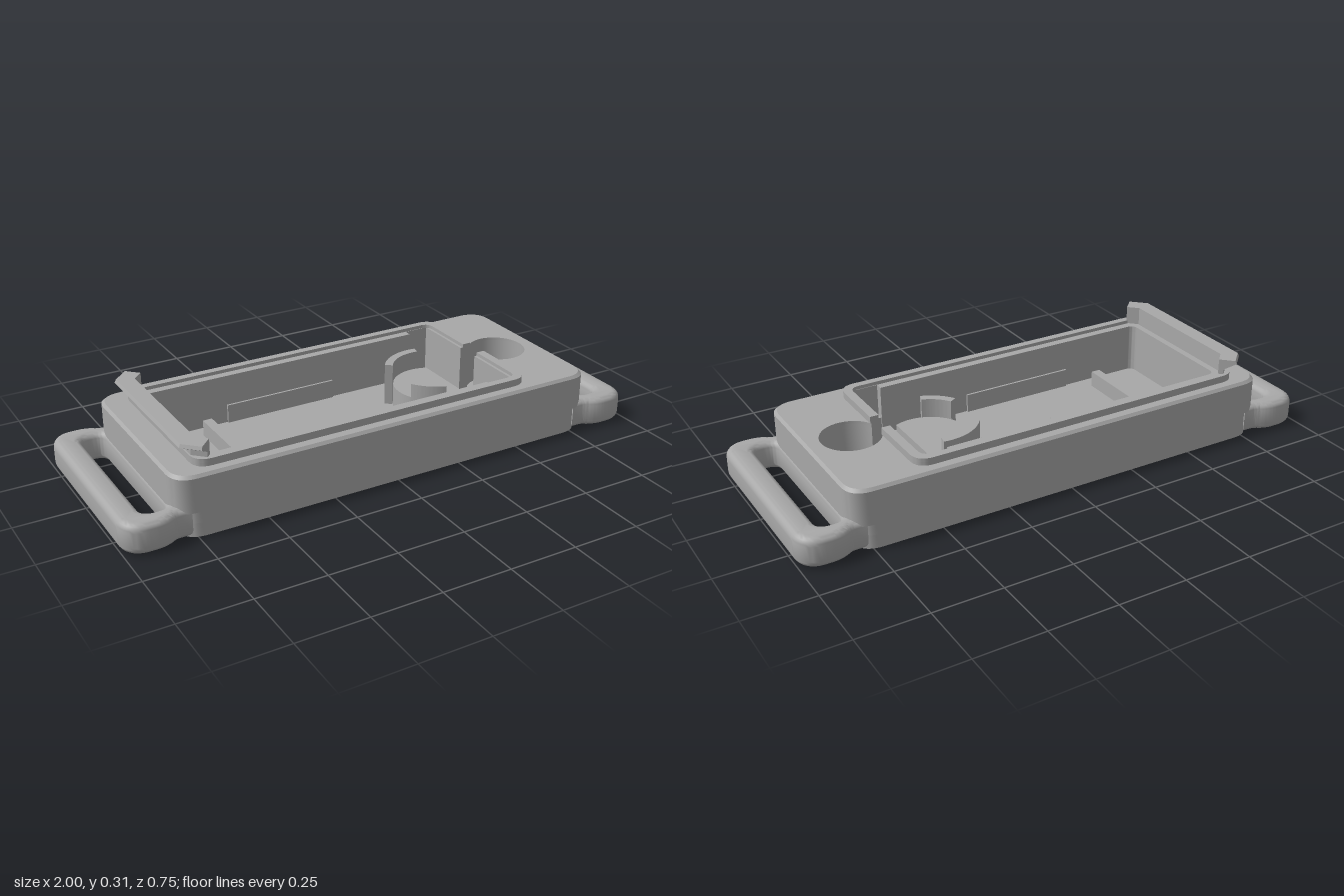
import * as THREE from 'three';
import { toCreasedNormals } from 'three/addons/utils/BufferGeometryUtils.js';

// Closed outline from [x, y, cornerRadius] points
function poly(pts, Type = THREE.Shape) {
  const s = new Type();
  const n = pts.length;
  pts.forEach(([x, y, r = 0], i) => {
    const toward = ([px, py]) => {
      const l = Math.hypot(px - x, py - y);
      return [x + ((px - x) * r) / l, y + ((py - y) * r) / l];
    };
    const a = toward(pts[(i + n - 1) % n]);
    const b = toward(pts[(i + 1) % n]);
    if (i === 0) s.moveTo(...a); else s.lineTo(...a);
    if (r) s.quadraticCurveTo(x, y, ...b);
  });
  s.closePath();
  return s;
}

const rect = (x0, x1, h, r, Type) =>
  poly([[x0, -h, r], [x1, -h, r], [x1, h, r], [x0, h, r]], Type);

const circle = (x, y, r) => new THREE.Path().absarc(x, y, r, 0, Math.PI * 2, true);

// Upright slab between two heights
function slab(shape, y0, y1, bevel = 0) {
  const g = new THREE.ExtrudeGeometry(shape, {
    depth: y1 - y0 - 2 * bevel, bevelEnabled: bevel > 0, bevelSize: bevel,
    bevelThickness: bevel, bevelSegments: 6, curveSegments: 12,
  });
  return g.rotateX(-Math.PI / 2).translate(0, y0 + bevel, 0);
}

export function createModel() {
  const model = new THREE.Group();
  model.name = 'strapCase';
  const grey = new THREE.MeshStandardMaterial({ color: 0xa8a8a8, side: THREE.DoubleSide });
  grey.name = 'grey plastic';
  const add = (name, geometry) => {
    const m = new THREE.Mesh(toCreasedNormals(geometry, 0.6), grey);
    m.name = name;
    model.add(m);
    return m;
  };

  const FLOOR = 0.05, TOP = 0.222;
  const wellX = 0.66, wellR = 0.107, notch = 0.045;
  const pinHoles = [0.235, 0.155, -0.155, -0.235];

  // Cavity side wall outline, from one side of the notch to the other
  const cavity = [
    [0.525, notch], [0.525, 0.285], [0.43, 0.285], [0.43, 0.257], [-0.68, 0.257, 0.03],
    [-0.68, -0.257, 0.03], [0.43, -0.257], [0.43, -0.285], [0.525, -0.285], [0.525, -notch],
  ];
  // Round well joined to the cavity through the notch
  const a0 = Math.PI - Math.asin(notch / wellR);
  const well = Array.from({ length: 41 }, (_, i) => {
    const a = -a0 + (2 * a0 * i) / 40;
    return [wellX + wellR * Math.cos(a), wellR * Math.sin(a)];
  });

  // Floor plate with through holes
  const floor = rect(-0.796, 0.796, 0.355, 0.08);
  floor.holes.push(circle(wellX, 0, 0.08), ...pinHoles.map((z) => circle(0.47, z, 0.036)));
  add('floor', slab(floor, 0, FLOOR));

  // Countersunk linings of the holes
  const funnel = (name, x, z, rTop, rBottom) => {
    const pts = [[rTop, FLOOR], [rTop, 0.025], [rBottom, 0], [rBottom, FLOOR], [rTop, FLOOR]];
    add(name, new THREE.LatheGeometry(pts.map((p) => new THREE.Vector2(...p)), 32))
      .position.set(x, 0, z);
  };
  funnel('wellHole', wellX, 0, 0.045, 0.08);
  pinHoles.forEach((z) => funnel('pinHole', 0.47, z, 0.024, 0.036));

  // Body walls, with a chamfered top edge
  const wall = (half) => {
    const s = rect(-half, half, 0.355, 0.08);
    s.holes.push(poly([...cavity, ...well], THREE.Path));
    return s;
  };
  add('lowerWall', slab(wall(0.796), FLOOR, 0.09));
  add('upperWall', slab(wall(0.82), 0.09, 0.212));
  const rim = slab(wall(0.82), 0.212, TOP);
  const p = rim.attributes.position;
  for (let i = 0; i < p.count; i++) {
    const x = p.getX(i), z = p.getZ(i);
    if (p.getY(i) > 0.217 && (Math.abs(x) > 0.78 || Math.abs(z) > 0.33)) {
      p.setX(i, x * 0.989);
      p.setZ(i, z * 0.975);
    }
  }
  add('topChamfer', rim);

  // Raised lip, open at the notch, with an inner ledge
  const lipOuter = [
    [0.567, -notch], [0.567, -0.315, 0.06], [-0.73, -0.315, 0.06],
    [-0.73, 0.315, 0.06], [0.567, 0.315, 0.06], [0.567, notch],
  ];
  const lipInner = [
    [0.535, notch], [0.535, 0.287, 0.035], [-0.705, 0.287, 0.035],
    [-0.705, -0.287, 0.035], [0.535, -0.287, 0.035], [0.535, -notch],
  ];
  add('lipLedge', slab(poly([...lipOuter, ...cavity]), TOP, 0.235));
  add('lip', slab(poly([...lipOuter, ...lipInner]), 0.235, 0.248));

  // Strap loops at both ends
  for (const turn of [0, Math.PI]) {
    const half = [[0.793, 0.32], [0.825, 0.32, 0.02], [0.865, 0.347, 0.03], [0.972, 0.347, 0.055]];
    const loop = poly([...half, ...half.map(([x, y, r]) => [x, -y, r]).reverse()].reverse());
    loop.holes.push(rect(0.797, 0.939, 0.325, 0.0705, THREE.Path));
    add('strapLoop', slab(loop, 0, 0.11, 0.028)).rotation.y = turn;
  }

  // Overhanging hook along one end, its tips bent round the corners
  const section = [[0, 0.236], [0, 0.305], [0.06, 0.305], [0.065, 0.293], [0.02, 0.267], [0.02, 0.236]];
  const stations = [
    [-0.67, -0.29, -0.7, -0.7], [-0.705, -0.255, -1, -0.42],
    [-0.705, 0.255, -1, 0.42], [-0.67, 0.29, -0.7, 0.7],
  ];
  const verts = [], faces = [];
  const n = section.length;
  stations.forEach(([x, z, dx, dz], s) => section.forEach(([d, y], k) => {
    verts.push(x + dx * d, y, z + dz * d);
    if (s < 3) {
      const a = s * n + k, b = s * n + ((k + 1) % n);
      faces.push(a, a + n, b, b, a + n, b + n);
    }
  }));
  const cap = THREE.ShapeUtils.triangulateShape(section.map((q) => new THREE.Vector2(...q)), []);
  cap.forEach(([a, b, c]) => faces.push(a, b, c, c + 3 * n, b + 3 * n, a + 3 * n));
  const hook = new THREE.BufferGeometry();
  hook.setAttribute('position', new THREE.Float32BufferAttribute(verts, 3));
  hook.setIndex(faces);
  hook.computeVertexNormals();
  add('hook', hook.toNonIndexed());

  // Cross bar and side ribs in the cavity
  const box = (name, w, h, d, x, z) =>
    add(name, new THREE.BoxGeometry(w, h, d)).position.set(x, FLOOR + h / 2, z);
  box('crossBar', 0.035, 0.06, 0.4, -0.465, 0);
  for (const side of [1, -1]) box('sideRib', 0.44, 0.07, 0.01, -0.14, side * 0.254);

  // Low round pads on the floor
  for (const x of [-0.23, 0.065]) {
    add('floorPad', new THREE.CylinderGeometry(0.083, 0.083, 0.01, 40)).position.set(x, FLOOR + 0.005, 0);
  }

  // Round pedestal cut flat, with two curved guards
  const cx = 0.37, cut = Math.acos(0.06 / 0.148);
  const pedestal = new THREE.Shape().absarc(cx, 0, 0.148, cut, Math.PI * 2 - cut, false);
  add('pedestal', slab(pedestal, FLOOR, 0.14));
  for (const [from, to] of [[1.4, 2.55], [3.67, 4.4]]) {
    const guard = new THREE.Shape().absarc(cx, 0, 0.18, from, to, false);
    guard.absarc(cx, 0, 0.15, to, from, true);
    add('curvedGuard', slab(guard, FLOOR, 0.21));
  }
  return model;
}
